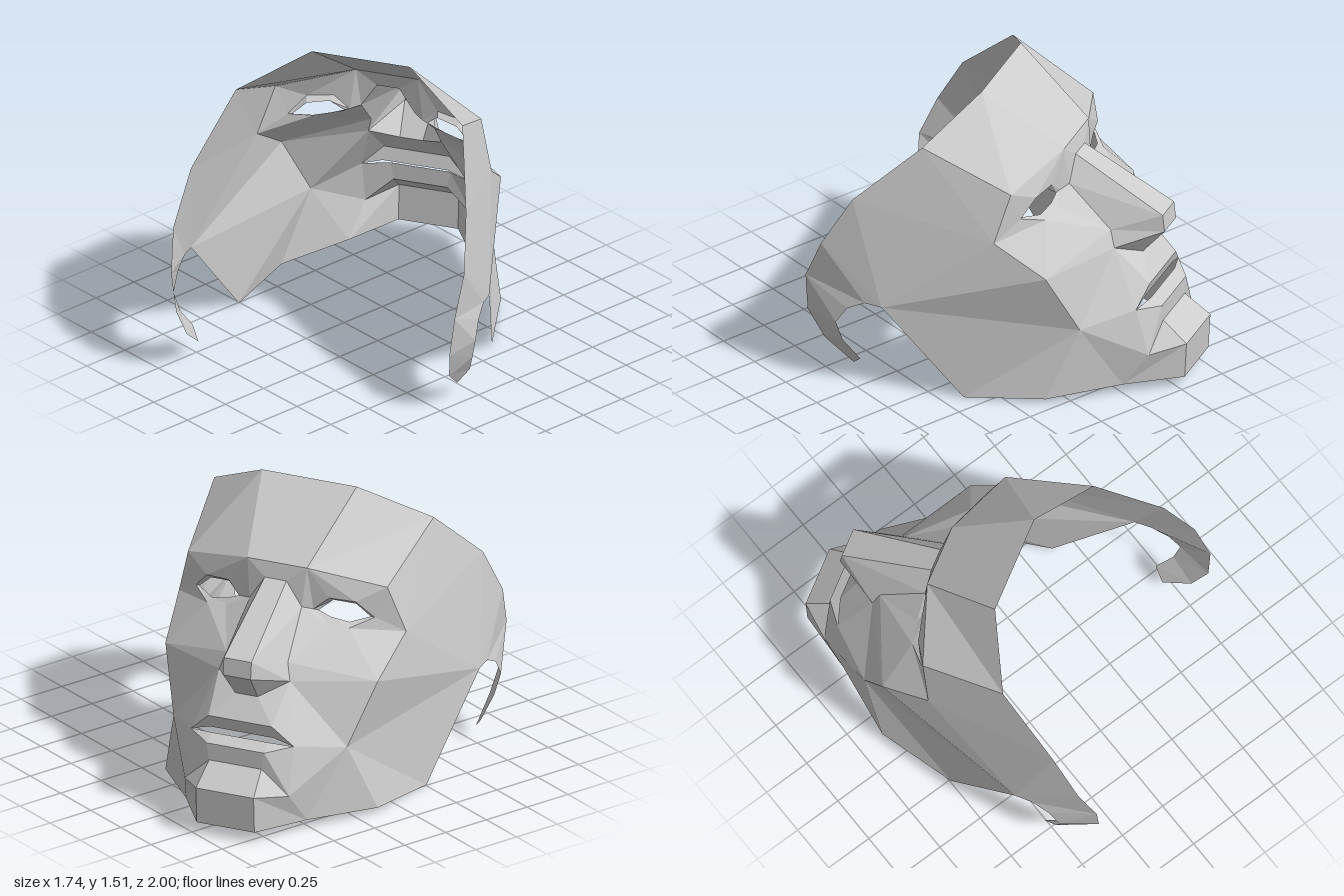
import * as THREE from 'three';

// Control points of one half of the mask: x sideways, y up, z out of the face
const forehead = { top: [.254, 1.515, .08], temple: [.589, 1.335, -.1], browIn: [.16, 1.225, .48], browOut: [.535, 1.135, .35] };
const lids = {
  e0: [.19, 1.005, .47], e1: [.27, 1.075, .46], e2: [.4, 1.065, .43],
  e3: [.48, .975, .38], e4: [.38, .935, .47], e5: [.27, .955, .49],
  h0: [.215, 1, .46], h1: [.28, 1.055, .43], h2: [.39, 1.04, .4],
  h3: [.46, .975, .38], h4: [.37, .955, .44], h5: [.28, .975, .46],
};
const nose = {
  bridge: [.058, 1.145, .5], bridgeSide: [.14, 1.02, .5], tip: [.074, .905, .97], tipLow: [.074, .815, .98],
  wingTop: [.165, .82, .73], wing: [.19, .735, .76], base: [.06, .67, .86],
};
const lower = {
  eyeSide: [.61, .885, .29], cheekbone: [.57, .715, .55], cheek: [.466, .4, .69],
  lipTop: [.17, .56, .94], lipIn: [.17, .492, .92], mouthEnd: [.275, .46, .91], lowIn: [.15, .472, .94], lipLow: [.155, .44, 1],
  crease: [.14, .35, 1], chinSide: [.28, .22, .98], chinTop: [.155, .25, 1.13], chinLow: [.155, .06, 1.12],
  jawFront: [.325, .05, .86], jawMid: [.57, .03, .55], jawEnd: [.658, 0, .15],
};
const hook = {
  r0: [.715, 1.035, -.42], r1: [.756, .775, -.57], r2: [.737, .565, -.66], r3: [.71, .355, -.66], r4: [.682, .195, -.58], r5: [.673, .08, -.43],
  i0: [.775, .49, -.24], i1: [.777, .497, -.33], i2: [.782, .45, -.42], i3: [.785, .36, -.48], i4: [.76, .25, -.453], i5: [.72, .137, -.375],
};
const P = { ...forehead, ...lids, ...nose, ...lower, ...hook };

// Each part: side faces (mirrored) and strips that span the centre line
const lidRing = [0, 1, 2, 3, 4, 5].map(i => `e${i} h${i} h${(i + 1) % 6} e${(i + 1) % 6}`);
const parts = {
  forehead: {
    faces: ['browIn browOut temple top'],
    strips: ['top browIn', 'browIn bridge'],
  },
  eyeSockets: {
    faces: ['bridge bridgeSide browIn', 'browIn bridgeSide e0', 'browIn e0 e1', 'browIn e1 e2', 'browIn e2 browOut',
      'browOut e2 e3', 'browOut e3 eyeSide', 'bridgeSide e5 e0'],
  },
  eyelids: { faces: lidRing },
  nose: {
    faces: ['bridge tip bridgeSide', 'tip wingTop bridgeSide', 'tip tipLow wing wingTop', 'tipLow base wing'],
    strips: ['bridge tip', 'tip tipLow', 'tipLow base'],
  },
  cheeks: {
    faces: ['bridgeSide wingTop e5', 'wingTop e4 e5', 'wingTop cheekbone e4', 'cheekbone eyeSide e4', 'eyeSide e3 e4',
      'wingTop wing cheekbone', 'wing cheek cheekbone', 'wing mouthEnd cheek', 'mouthEnd chinSide cheek'],
  },
  mouth: {
    faces: ['base lipTop wing', 'wing lipTop mouthEnd', 'lipTop lipIn mouthEnd', 'lowIn lipLow mouthEnd', 'lipLow chinSide mouthEnd'],
    strips: ['base lipTop', 'lipTop lipIn', 'lowIn lipLow'],
  },
  chin: {
    faces: ['lipLow crease chinSide', 'crease chinTop chinSide', 'chinTop chinLow jawFront', 'chinTop jawFront chinSide'],
    strips: ['lipLow crease', 'crease chinTop', 'chinTop chinLow'],
  },
  jawAndTemples: {
    faces: ['chinSide jawFront cheek', 'cheek jawFront jawMid', 'cheek jawMid jawEnd', 'cheek jawEnd i0', 'cheek i0 cheekbone',
      'cheekbone i0 eyeSide', 'eyeSide i0 r0', 'eyeSide r0 temple', 'eyeSide temple browOut'],
  },
  earHooks: {
    faces: ['r0 i0 r1', 'r1 i0 i1', 'r1 i1 r2', 'r2 i1 i2', 'r2 i2 i3', 'r2 i3 r3', 'r3 i3 i4', 'r3 i4 r4', 'r4 i4 i5', 'r4 i5 r5'],
  },
};

const mirror = ([x, y, z]) => [-x, y, z];

function facetGeometry({ faces = [], strips = [] }) {
  const pos = [];
  const polygon = pts => {
    for (let i = 1; i < pts.length - 1; i++) pos.push(...pts[0], ...pts[i], ...pts[i + 1]);
  };
  for (const face of faces) {
    const pts = face.split(' ').map(n => P[n]);
    polygon(pts);
    polygon(pts.map(mirror).reverse());
  }
  for (const strip of strips) {
    const [a, b] = strip.split(' ').map(n => P[n]);
    polygon([a, mirror(a), mirror(b), b]);
  }
  const geometry = new THREE.BufferGeometry();
  geometry.setAttribute('position', new THREE.Float32BufferAttribute(pos, 3));
  geometry.computeVertexNormals();
  return geometry;
}

export function createModel() {
  const material = new THREE.MeshStandardMaterial({ color: 0xcccccc, flatShading: true, side: THREE.DoubleSide });
  const mask = new THREE.Group();
  mask.name = 'mask';
  for (const [name, part] of Object.entries(parts)) {
    const mesh = new THREE.Mesh(facetGeometry(part), material);
    mesh.name = name;
    mask.add(mesh);
  }
  // The mask is turned to look back over its right shoulder
  mask.rotation.y = THREE.MathUtils.degToRad(210);
  mask.position.set(-.1, 0, .0575);
  const model = new THREE.Group();
  model.name = 'faceMask';
  model.add(mask);
  return model;
}
